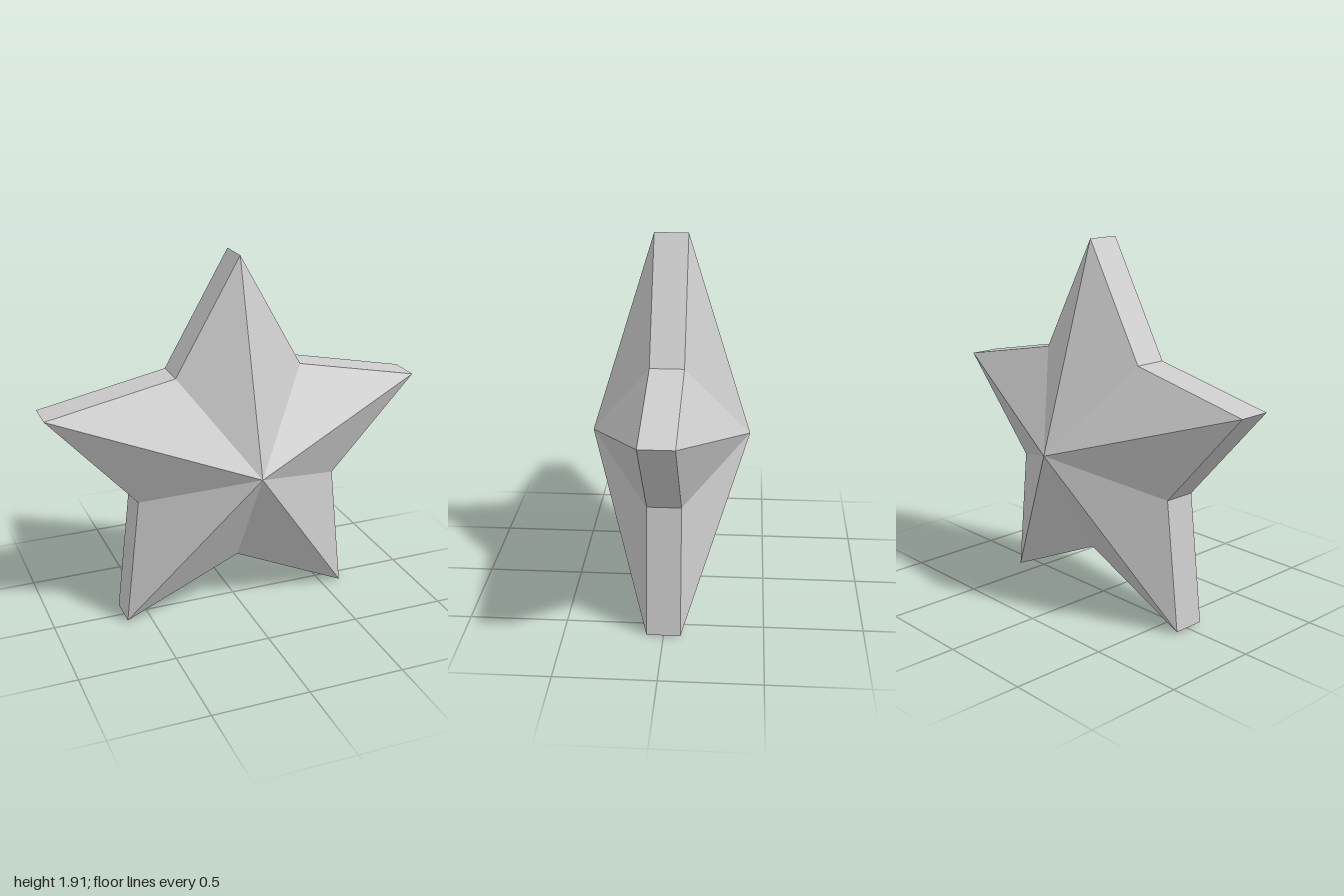
import * as THREE from 'three';

const CENTRE = [-0.003, 0.857];
const TIP_RADIUS = 1.051, NOTCH_RADIUS = 0.571;
const RIM_Z = 0.085, APEX_Z = 0.41;
const TILT = -0.0075; // the star leans very slightly clockwise

// Ten outline corners, counter-clockwise from the top tip
function outline(z) {
  return Array.from({ length: 10 }, (_, i) => {
    const a = Math.PI / 2 + TILT + (i * Math.PI) / 5;
    const r = i % 2 ? NOTCH_RADIUS : TIP_RADIUS;
    return [CENTRE[0] + r * Math.cos(a), CENTRE[1] + r * Math.sin(a), z];
  });
}

function facetedMesh(name, triangles) {
  const geometry = new THREE.BufferGeometry();
  geometry.setAttribute('position', new THREE.Float32BufferAttribute(triangles.flat(2), 3));
  geometry.computeVertexNormals();
  const material = new THREE.MeshStandardMaterial({ color: 0xcccccc, flatShading: true });
  const mesh = new THREE.Mesh(geometry, material);
  mesh.name = name;
  return mesh;
}

export function createModel() {
  const front = outline(RIM_Z), back = outline(-RIM_Z);
  const frontApex = [...CENTRE, APEX_Z], backApex = [...CENTRE, -APEX_Z];
  const frontFaces = [], backFaces = [], rimFaces = [];

  for (let i = 0; i < 10; i++) {
    const j = (i + 1) % 10;
    frontFaces.push([frontApex, front[i], front[j]]);
    backFaces.push([backApex, back[j], back[i]]);
    rimFaces.push([front[i], back[i], back[j]], [front[i], back[j], front[j]]);
  }

  const star = new THREE.Group();
  star.name = 'star';
  star.add(
    facetedMesh('frontFacets', frontFaces),
    facetedMesh('backFacets', backFaces),
    facetedMesh('rim', rimFaces),
  );
  return star;
}
